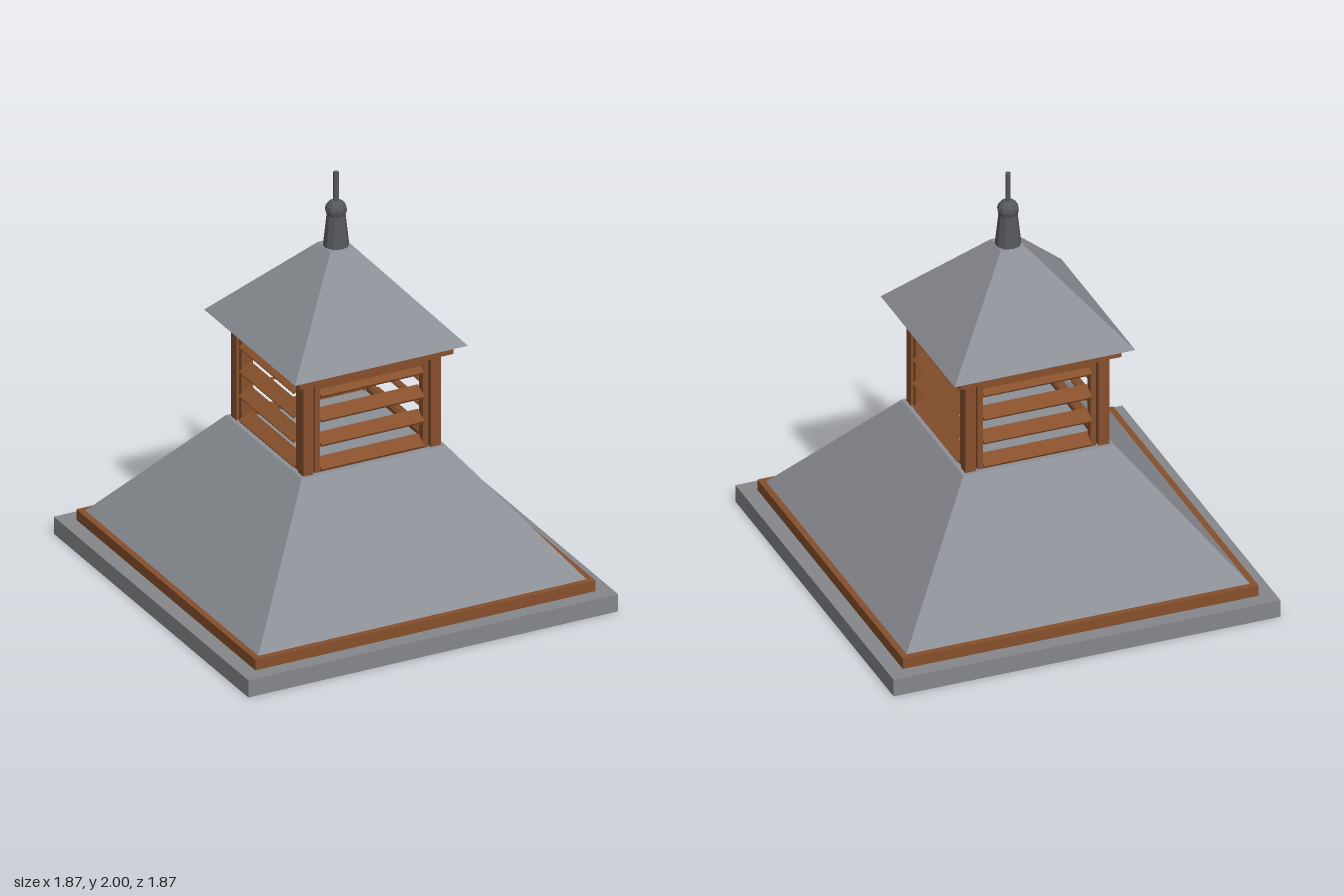
import * as THREE from 'three';

export function createModel() {
  const material = (name, color) => {
    const m = new THREE.MeshStandardMaterial({ color, flatShading: true });
    m.name = name;
    return m;
  };
  const roofGrey = material('roofGrey', 0x8c8f95);
  const baseGrey = material('baseGrey', 0x84878a);
  const wood = material('wood', 0x87502c);
  const iron = material('iron', 0x56575b);

  const model = new THREE.Group();
  model.name = 'roofCupola';

  const add = (parent, name, geometry, mat, x = 0, y = 0, z = 0) => {
    const mesh = new THREE.Mesh(geometry, mat);
    mesh.name = name;
    mesh.position.set(x, y, z);
    parent.add(mesh);
    return mesh;
  };
  // Box given by its bottom and top heights
  const slab = (parent, name, w, y0, y1, d, mat, x = 0, z = 0) =>
    add(parent, name, new THREE.BoxGeometry(w, y1 - y0, d), mat, x, (y0 + y1) / 2, z);
  // Square hipped roof, given by half widths
  const hip = (name, bottom, top, y0, y1) => {
    const g = new THREE.CylinderGeometry(top * Math.SQRT2, bottom * Math.SQRT2, y1 - y0, 4);
    g.rotateY(Math.PI / 4);
    return add(model, name, g, roofGrey, 0, (y0 + y1) / 2, 0);
  };

  // Base and roofs with their wooden trims
  slab(model, 'base', 1.87, 0, 0.085, 1.87, baseGrey);
  slab(model, 'lowerTrim', 1.72, 0.085, 0.138, 1.72, wood);
  hip('lowerRoof', 0.83, 0.365, 0.138, 0.71);
  slab(model, 'upperTrim', 0.78, 1.172, 1.222, 0.78, wood);
  hip('upperRoof', 0.437, 0.06, 1.222, 1.638);

  // Corner posts
  for (const x of [-1, 1])
    for (const z of [-1, 1])
      slab(model, 'cornerPost', 0.052, 0.71, 1.172, 0.052, wood, x * 0.322, z * 0.322);

  // Louvred panel on each of the four sides
  for (let i = 0; i < 4; i++) {
    const panel = new THREE.Group();
    panel.name = 'louvrePanel';
    panel.rotation.y = (i * Math.PI) / 2;
    const z = 0.322;
    for (const s of [-1, 1])
      slab(panel, 'frameSide', 0.025, 0.71, 1.147, 0.035, wood, s * 0.273, z);
    slab(panel, 'frameTop', 0.521, 1.122, 1.147, 0.035, wood, 0, z);
    slab(panel, 'frameBottom', 0.521, 0.71, 0.73, 0.035, wood, 0, z);
    for (let k = 0; k < 4; k++) {
      const slat = add(panel, 'slat', new THREE.BoxGeometry(0.521, 0.012, 0.072), wood,
        0, 0.741 + k * 0.122, z);
      slat.rotation.x = Math.PI / 6;
    }
    model.add(panel);
  }

  // Finial: tapered foot, ball and rod
  const finial = new THREE.Group();
  finial.name = 'finial';
  add(finial, 'finialFoot', new THREE.CylinderGeometry(0.042, 0.06, 0.165, 10), iron, 0, 1.7205, 0);
  const ball = add(finial, 'finialBall', new THREE.SphereGeometry(0.05, 10, 8), iron, 0, 1.815, 0);
  ball.scale.y = 0.95;
  add(finial, 'finialRod', new THREE.CylinderGeometry(0.013, 0.013, 0.15, 8), iron, 0, 1.925, 0);
  model.add(finial);

  return model;
}
